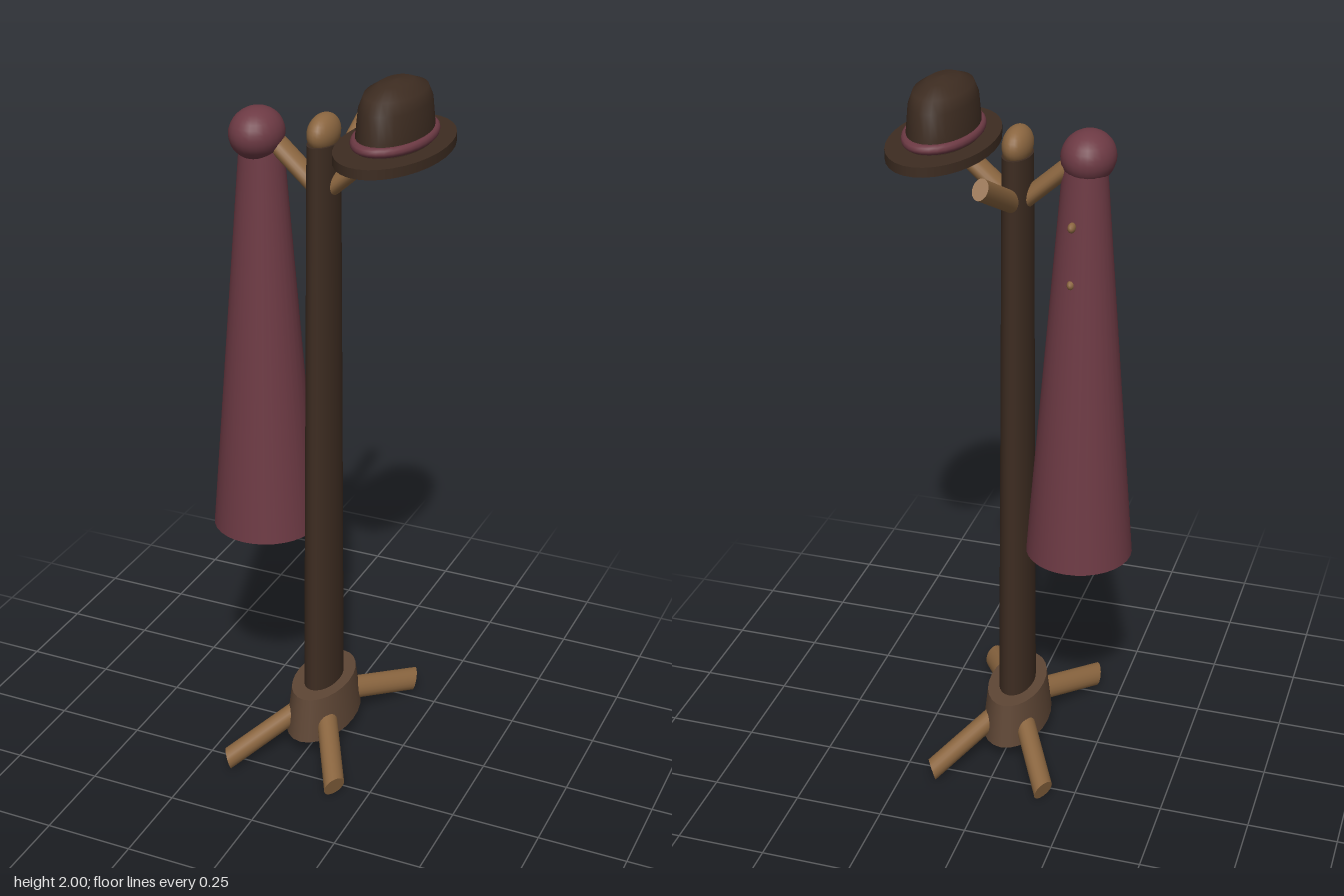
import * as THREE from 'three';

const mat = (name, color, side = THREE.FrontSide) => {
  const m = new THREE.MeshStandardMaterial({ color, side });
  m.name = name;
  return m;
};

export function createModel() {
  const dark = mat('dark wood', 0x3d2c21);
  const brown = mat('brown wood', 0x5e4635);
  const light = mat('light wood', 0x8b6640);
  const wine = mat('wine cloth', 0x6d3a44, THREE.DoubleSide);

  const root = new THREE.Group();
  root.name = 'coatStand';

  const add = (parent, name, geometry, material, x = 0, y = 0, z = 0) => {
    const mesh = new THREE.Mesh(geometry, material);
    mesh.name = name;
    mesh.position.set(x, y, z);
    parent.add(mesh);
    return mesh;
  };

  // Round rod between two points
  const rod = (parent, name, from, to, radius, material) => {
    const dir = to.clone().sub(from);
    const mesh = add(parent, name, new THREE.CylinderGeometry(radius, radius, dir.length(), 20), material);
    mesh.position.copy(from).add(to).multiplyScalar(0.5);
    mesh.quaternion.setFromUnitVectors(new THREE.Vector3(0, 1, 0), dir.normalize());
  };

  // Stand: round parts squeezed to an oval section
  const stand = new THREE.Group();
  stand.name = 'stand';
  stand.position.x = -0.004;
  stand.scale.set(0.55, 0.72, 1);
  root.add(stand);

  add(stand, 'base', new THREE.CylinderGeometry(0.145, 0.17, 0.18, 24), brown, 0, 0.16, 0);
  add(stand, 'pole', new THREE.CylinderGeometry(0.07, 0.09, 2.264, 24), dark, 0, 1.382, 0);
  add(stand, 'finial', new THREE.SphereGeometry(0.07, 24, 16), light, 0, 2.549, 0);

  // Four splayed legs
  for (const sx of [-1, 1]) {
    for (const sz of [-1, 1]) {
      rod(stand, 'leg', new THREE.Vector3(0, 0.17, 0), new THREE.Vector3(0.302 * sx, 0.043, 0.302 * sz), 0.044, light);
    }
  }

  // Three pegs: left, right and back
  for (const [dx, dz] of [[1, 0], [-1, 0], [0, -1]]) {
    rod(stand, 'peg', new THREE.Vector3(0, 2.319, 0), new THREE.Vector3(0.318 * dx, 2.535, 0.318 * dz), 0.037, light);
  }

  // Hanging coat, open at the hem
  const coat = new THREE.Group();
  coat.name = 'coat';
  root.add(coat);
  add(coat, 'coatBody', new THREE.CylinderGeometry(0.058, 0.149, 1.14, 32, 1, true), wine, -0.184, 1.23, 0);
  add(coat, 'coatCollar', new THREE.SphereGeometry(1, 24, 16), wine, -0.188, 1.816, 0.017).scale.set(0.072, 0.07, 0.088);
  for (const y of [1.652, 1.494]) {
    add(coat, 'button', new THREE.SphereGeometry(0.018, 12, 8), light, -0.17, y, -0.074).scale.set(0.6, 0.75, 1);
  }

  // Hat resting on the left peg
  const hat = new THREE.Group();
  hat.name = 'hat';
  hat.position.x = 0.195;
  hat.scale.x = 0.55;
  root.add(hat);
  add(hat, 'brim', new THREE.CylinderGeometry(0.25, 0.25, 0.026, 32), dark, 0, 1.825, 0);
  const crown = [[0.163, 1.83], [0.16, 1.875], [0.15, 1.94], [0.13, 1.972], [0.07, 1.993], [0, 2]];
  add(hat, 'crown', new THREE.LatheGeometry(crown.map(([r, y]) => new THREE.Vector2(r, y)), 32), dark);
  const band = add(hat, 'hatBand', new THREE.TorusGeometry(0.164, 0.018, 10, 32), wine, 0, 1.855, 0);
  band.rotation.x = Math.PI / 2;
  band.scale.z = 0.72;

  return root;
}
